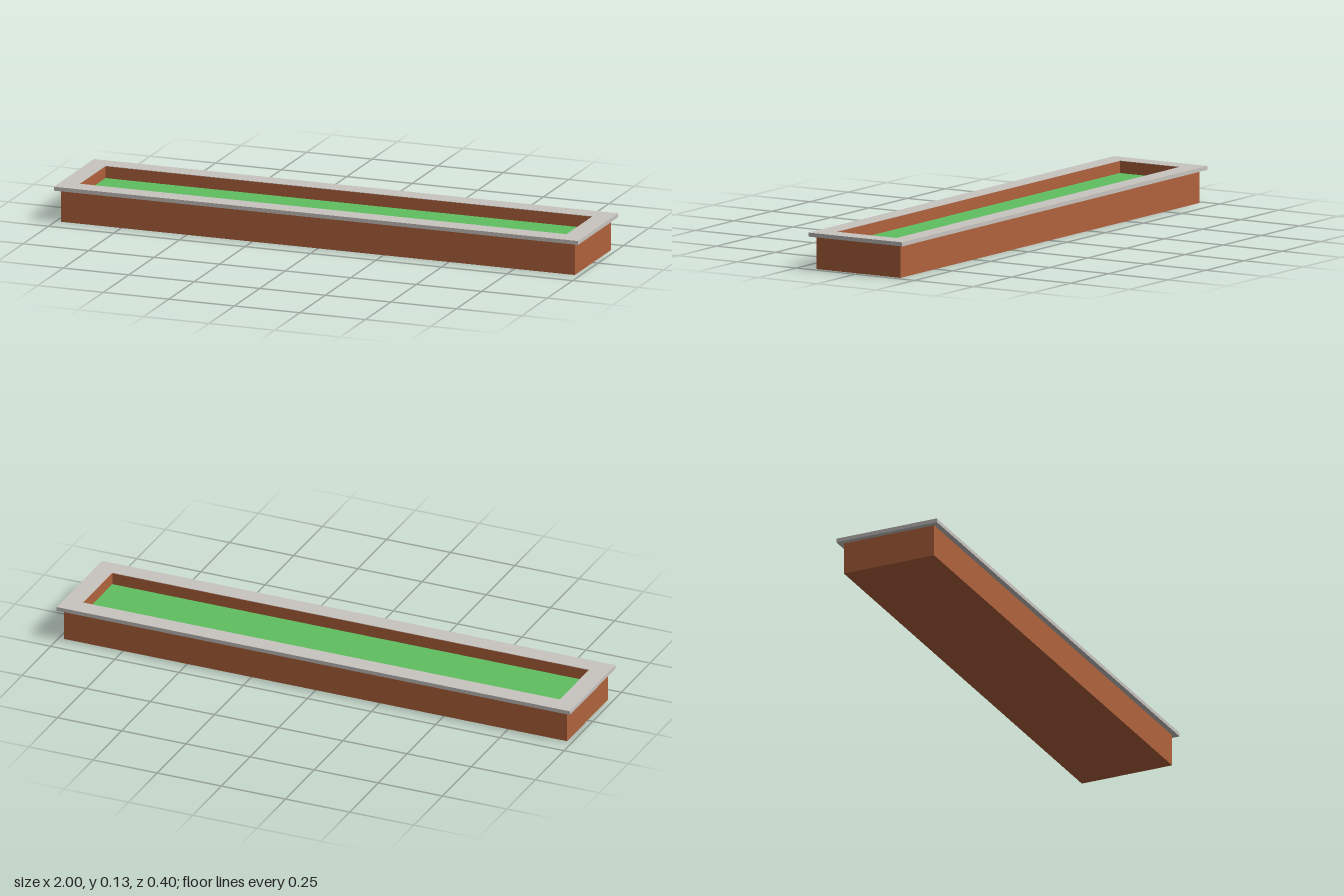
import * as THREE from 'three';

// Rectangular ring lying flat: outer and inner half sizes, from y0 to y1
function frame(ox, oz, ix, iz, y0, y1) {
  const shape = new THREE.Shape([[-ox, -oz], [ox, -oz], [ox, oz], [-ox, oz]].map(p => new THREE.Vector2(...p)));
  shape.holes.push(new THREE.Path([[-ix, -iz], [-ix, iz], [ix, iz], [ix, -iz]].map(p => new THREE.Vector2(...p))));
  return new THREE.ExtrudeGeometry(shape, { depth: y1 - y0, bevelEnabled: false })
    .rotateX(-Math.PI / 2)
    .translate(0, y0, 0);
}

export function createModel() {
  const group = new THREE.Group();
  group.name = 'planter';

  const material = (name, color) => {
    const m = new THREE.MeshStandardMaterial({ color });
    m.name = name;
    return m;
  };
  const brick = material('brick', 0xb0623c);
  const stone = material('stone', 0xc8c4c0);
  const grass = material('grass', 0x5fc05f);

  const add = (name, geometry, mat) => {
    const mesh = new THREE.Mesh(geometry, mat);
    mesh.name = name;
    group.add(mesh);
  };

  // Brick walls, lining the opening up to the rim
  add('walls', frame(0.98, 0.178, 0.928, 0.126, 0, 0.131), brick);

  // Closed brick bottom
  add('base', new THREE.BoxGeometry(1.856, 0.02, 0.252).translate(0, 0.01, 0), brick);

  // Sunken planting bed
  add('grassBed', new THREE.BoxGeometry(1.856, 0.068, 0.252).translate(0, 0.054, 0), grass);

  // Overhanging stone coping
  add('coping', frame(1, 0.198, 0.929, 0.127, 0.118, 0.1325), stone);

  return group;
}
